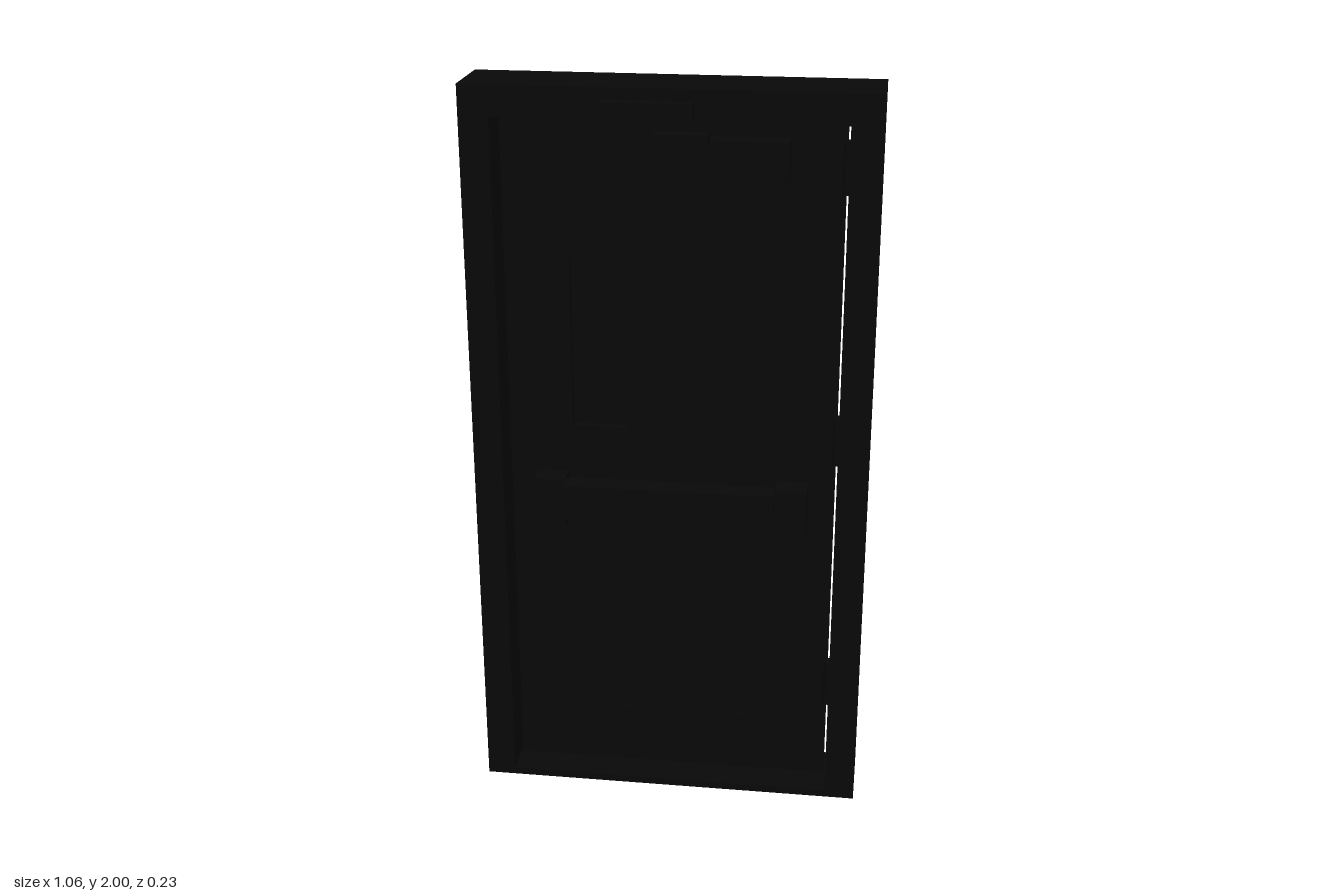
import * as THREE from 'three';

const black = new THREE.MeshStandardMaterial({ color: 0x080808 });
black.name = 'black paint';

// Rectangle traced from its limits, for shapes and holes
function rect(target, x0, x1, y0, y1) {
  target.moveTo(x0, y0);
  target.lineTo(x1, y0);
  target.lineTo(x1, y1);
  target.lineTo(x0, y1);
  target.closePath();
  return target;
}

export function createModel() {
  const model = new THREE.Group();
  model.name = 'door';

  const add = (name, geometry) => {
    const mesh = new THREE.Mesh(geometry, black);
    mesh.name = name;
    model.add(mesh);
    return mesh;
  };

  // Box given by its limits on each axis
  const box = (name, x0, x1, y0, y1, z0, z1) =>
    add(name, new THREE.BoxGeometry(x1 - x0, y1 - y0, z1 - z0))
      .position.set((x0 + x1) / 2, (y0 + y1) / 2, (z0 + z1) / 2);

  // Slab with a rectangular opening, each rectangle as [x0, x1, y0, y1]
  const ring = (name, outer, inner, z0, z1) => {
    const shape = rect(new THREE.Shape(), ...outer);
    shape.holes.push(rect(new THREE.Path(), ...inner));
    const geometry = new THREE.ExtrudeGeometry(shape, { depth: z1 - z0, bevelEnabled: false });
    add(name, geometry).position.z = z0;
  };

  // Frame with threshold, and the leaf set back from both faces
  ring('frame', [-0.53, 0.53, 0, 2], [-0.452, 0.448, 0.02, 1.92], -0.12, 0.08);
  ring('doorLeaf', [-0.444, 0.44, 0.029, 1.911], [-0.27, -0.12, 1.075, 1.555], -0.04, 0);

  // Window pane and its trim on both faces
  box('windowPane', -0.27, -0.12, 1.075, 1.555, -0.025, -0.015);
  for (const [z0, z1] of [[0, 0.007], [-0.047, -0.04]]) {
    ring('windowTrim', [-0.29, -0.1, 1.05, 1.58], [-0.27, -0.12, 1.075, 1.555], z0, z1);
    box('kickPlate', -0.43, 0.425, 0.035, 0.21, z0 ? z0 : 0, z0 ? z1 : 0.005);
  }

  // Push bar between two end housings
  box('latchHousing', -0.37, -0.285, 0.8, 0.94, 0, 0.07);
  box('barHousing', 0.283, 0.37, 0.8, 0.94, 0, 0.07);
  box('pushBar', -0.285, 0.283, 0.835, 0.935, 0.04, 0.098);
  box('barRail', -0.285, 0.283, 0.85, 0.92, 0, 0.04);

  // Overhead closer: body on the leaf, arm, and shoe on the frame
  box('closerBody', 0.04, 0.3, 1.77, 1.87, 0, 0.05);
  box('closerArm', -0.04, 0.1, 1.86, 1.89, 0.05, 0.09);
  box('closerShoe', -0.17, 0.065, 1.93, 1.97, 0.08, 0.115);

  // Three hinges on the left edge
  for (const y of [0.335, 1.068, 1.802]) {
    const knuckle = add('hingeKnuckle', new THREE.CylinderGeometry(0.014, 0.014, 0.135, 16));
    knuckle.position.set(0.444, y, 0.008);
  }

  // Pull handle on a back plate
  box('pullPlate', -0.39, -0.29, 0.77, 1.07, -0.047, -0.04);
  box('pullGrip', -0.355, -0.325, 0.81, 1.03, -0.105, -0.085);
  for (const y of [0.81, 1.005]) box('pullPost', -0.355, -0.325, y, y + 0.025, -0.085, -0.047);

  return model;
}
